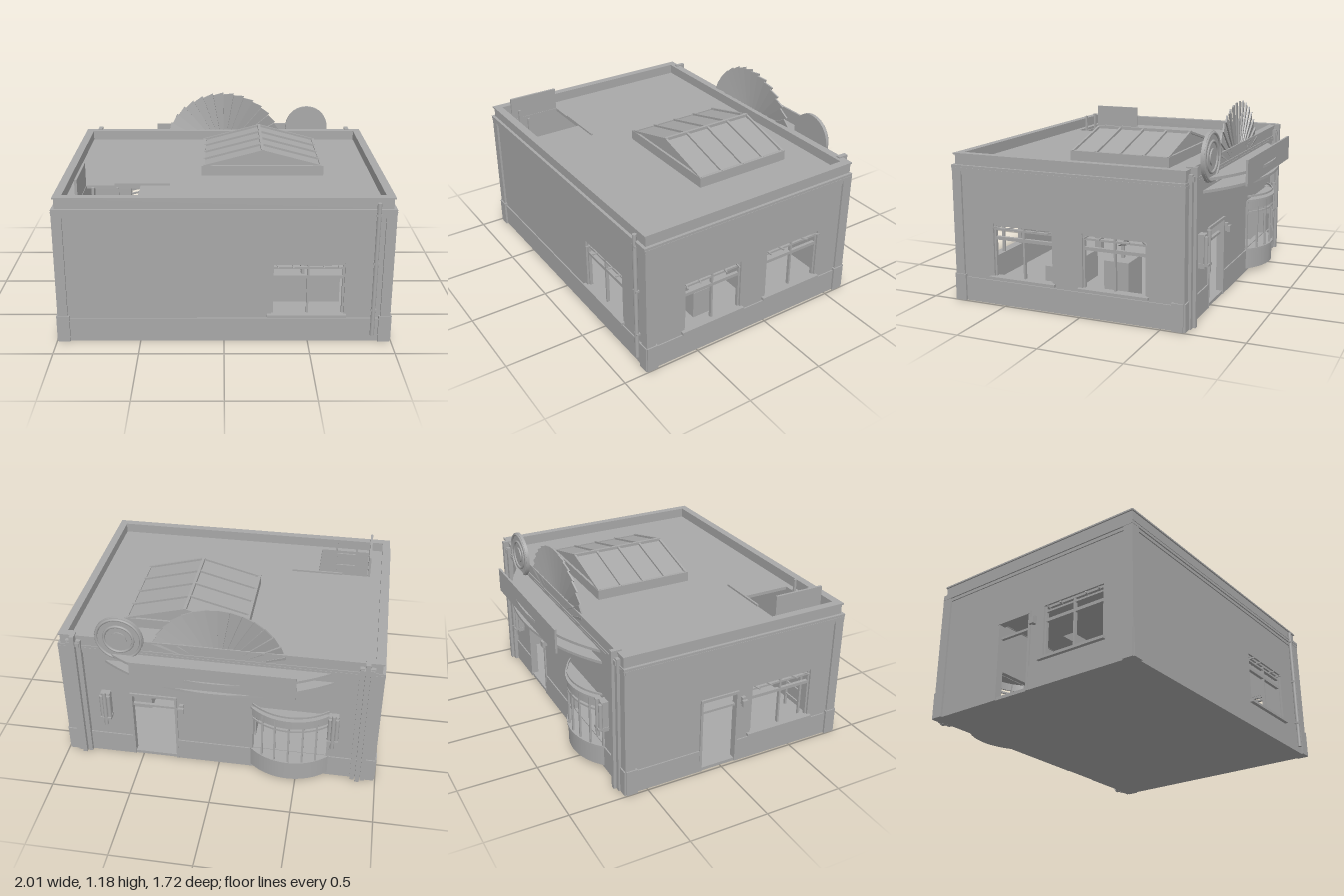
import * as THREE from 'three';

const grey = new THREE.MeshStandardMaterial({ color: 0xa8a8a8, side: THREE.DoubleSide });
grey.name = 'plain grey';

function add(parent, name, geo, x = 0, y = 0, z = 0) {
  const m = new THREE.Mesh(geo, grey);
  m.name = name;
  m.position.set(x, y, z);
  parent.add(m);
  return m;
}

// Box given by its two extreme corners
function box(parent, name, x0, x1, y0, y1, z0, z1) {
  return add(parent, name, new THREE.BoxGeometry(x1 - x0, y1 - y0, z1 - z0),
    (x0 + x1) / 2, (y0 + y1) / 2, (z0 + z1) / 2);
}

// Square bar between two points
function bar(parent, name, a, b, t) {
  const p = new THREE.Vector3(...a), q = new THREE.Vector3(...b);
  const m = add(parent, name, new THREE.BoxGeometry(t, t, p.distanceTo(q)));
  m.position.copy(p).add(q).multiplyScalar(0.5);
  m.lookAt(q);
  return m;
}

function rectPath(x0, x1, y0, y1, Type = THREE.Path) {
  return new Type([[x0, y0], [x1, y0], [x1, y1], [x0, y1]].map(p => new THREE.Vector2(...p)));
}

const extrude = (shape, depth) => new THREE.ExtrudeGeometry(shape, { depth, bevelEnabled: false, curveSegments: 32 });

// Points on a shallow bow of given half width and depth
function bow(half, depth, n = 28) {
  const r = (half * half + depth * depth) / (2 * depth), a = Math.asin(half / r);
  return Array.from({ length: n + 1 }, (_, i) => {
    const t = -a + 2 * a * i / n;
    return new THREE.Vector2(r * Math.sin(t), depth - r + r * Math.cos(t));
  });
}

// Horizontal bowed slab, or a bowed strip when a thickness is given
function bowSlab(parent, name, x, half, depth, y0, y1, strip = 0) {
  const pts = bow(half, depth);
  if (strip) pts.push(...bow(half - strip, depth - strip).reverse());
  return add(parent, name, extrude(new THREE.Shape(pts), y1 - y0).rotateX(Math.PI / 2), x, y1, 0);
}

// One side of the building: local x along the wall, z = 0 on its outer face
function makeFace(root, name, half, angle, x, z, holes) {
  const g = new THREE.Group();
  g.name = name;
  g.position.set(x, 0, z);
  g.rotation.y = angle;
  root.add(g);
  const wall = rectPath(-half, half, 0, 0.84, THREE.Shape);
  holes.forEach(h => wall.holes.push(rectPath(...h)));
  add(g, 'wallPanel', extrude(wall, 0.035), 0, 0, -0.048);
  // plinth, leaving the doorways open
  let u = -half;
  holes.filter(h => h[2] < 0.1).forEach(h => { box(g, 'plinth', u, h[0], 0, 0.148, -0.04, -0.005); u = h[1]; });
  box(g, 'plinth', u, half, 0, 0.148, -0.04, -0.005);
  // corner strips and their bases
  for (const s of [-1, 1]) {
    const a = s * half, b = s * (half - 0.06), c = s * (half - 0.07);
    box(g, 'cornerStrip', Math.min(a, b), Math.max(a, b), 0, 0.82, -0.04, 0);
    box(g, 'cornerBase', Math.min(a, c), Math.max(a, c), 0, 0.165, -0.04, 0.008);
  }
  box(g, 'upperBand', -half, half, 0.785, 0.805, -0.04, -0.006);
  box(g, 'upperMoulding', -half, half, 0.805, 0.825, -0.04, 0.002);
  return g;
}

// Framed window with transom, mullion, header bars and sill
function windowFrame(g, a, b) {
  const y0 = 0.17, y1 = 0.5, m = (a + b) / 2, z0 = -0.045, z1 = -0.025;
  box(g, 'windowSill', a - 0.025, b + 0.015, 0.158, 0.175, -0.05, 0.01);
  for (const u of [a, m - 0.006, b - 0.012]) box(g, 'windowUpright', u, u + 0.012, y0, y1, z0, z1);
  box(g, 'windowTransom', a, b, 0.4, 0.42, z0, z1);
  box(g, 'windowRail', a, b, 0.46, 0.472, z0, z1);
  box(g, 'windowHead', a, b, 0.485, y1, z0, z1);
  for (const s of [-1, 1]) for (const k of [0.06, 0.15])
    bar(g, 'blindArm', [m + s * k, 0.495, -0.04], [m + s * (k + 0.06), 0.46, -0.02], 0.008);
}

function doorway(g, a, b, top) {
  box(g, 'doorJamb', a - 0.015, a, 0, top, -0.05, -0.003);
  box(g, 'doorJamb', b, b + 0.015, 0, top, -0.05, -0.003);
  box(g, 'doorLintel', a - 0.015, b + 0.015, top, top + 0.018, -0.05, -0.001);
  box(g, 'doorTransom', a, b, top - 0.09, top - 0.075, -0.045, -0.025);
}

function doorLamp(g, u) {
  box(g, 'doorLampBracket', u - 0.012, u + 0.012, 0.4, 0.45, -0.02, 0.008);
  box(g, 'doorLamp', u - 0.018, u + 0.018, 0.395, 0.435, 0.008, 0.025);
}

function buildRoof(root) {
  // roof deck with hatch opening
  const deck = rectPath(-0.97, 0.97, -0.83, 0.62, THREE.Shape);
  deck.holes.push(rectPath(-0.84, -0.51, -0.755, -0.43));
  deck.holes.push(rectPath(-0.12, 0.61, -0.21, 0.38));
  add(root, 'roofDeck', extrude(deck, 0.02).rotateX(-Math.PI / 2), 0, 0.825, 0);
  // cornice ledge and parapet
  const ring = (name, w, z0, z1, t, y0, y1) => {
    const s = rectPath(-w, w, -z1, -z0, THREE.Shape);
    s.holes.push(rectPath(-w + t, w - t, -z1 + t, -z0 - t));
    add(root, name, extrude(s, y1 - y0).rotateX(-Math.PI / 2), 0, y0, 0);
  };
  ring('corniceLedge', 0.99, -0.64, 0.85, 0.055, 0.822, 0.84);
  ring('parapet', 0.972, -0.635, 0.832, 0.04, 0.84, 0.9);
  ring('parapetCap', 0.98, -0.64, 0.84, 0.05, 0.9, 0.91);
  // gabled skylight
  for (const [x0, x1, z0, z1] of [[-0.14, 0.63, -0.405, -0.385], [-0.14, 0.63, 0.215, 0.235],
    [-0.14, -0.12, -0.405, 0.235], [0.61, 0.63, -0.405, 0.235]])
    box(root, 'skylightCurb', x0, x1, 0.835, 0.908, z0, z1);
  const gable = new THREE.Shape([[-0.12, 0.9], [0.61, 0.9], [0.245, 0.996]].map(p => new THREE.Vector2(...p)));
  add(root, 'skylightGlazing', extrude(gable, 0.61), 0, 0, -0.39);
  for (let i = 0; i < 5; i++) {
    const z = -0.395 + i * 0.155;
    bar(root, 'skylightRafter', [-0.13, 0.903, z], [0.245, 1.003, z], 0.014);
    bar(root, 'skylightRafter', [0.62, 0.903, z], [0.245, 1.003, z], 0.014);
  }
  box(root, 'skylightRidge', 0.236, 0.254, 0.993, 1.012, -0.402, 0.232);
  // open hatch with its lid, stay and ladder
  box(root, 'hatchLid', -0.858, -0.843, 0.84, 0.99, 0.43, 0.76);
  box(root, 'hatchStay', -0.67, -0.33, 0.846, 0.858, 0.423, 0.435);
  for (const x of [-0.755, -0.612]) box(root, 'ladderRail', x - 0.007, x + 0.007, 0.02, 0.94, 0.735, 0.75);
  for (let y = 0.1; y < 0.9; y += 0.09) box(root, 'ladderRung', -0.755, -0.612, y, y + 0.01, 0.738, 0.748);
}

function buildShopFront(g) {
  // two bowed canopies with signboard
  bowSlab(g, 'lowerCanopy', 0, 0.7, 0.222, 0.73, 0.747);
  bowSlab(g, 'upperCanopy', 0, 0.68, 0.212, 0.795, 0.812);
  box(g, 'signBoard', -0.49, 0.49, 0.745, 0.9, 0.187, 0.2);
  // sunburst fan of overlapping blades
  const n = 18, R = 0.43, h = Math.PI / n / 2;
  for (let i = 0; i < n; i++) {
    const s = new THREE.Shape();
    s.moveTo(0, 0);
    s.lineTo(R * 0.975 * Math.cos(h), -R * 0.975 * Math.sin(h));
    s.lineTo(R * Math.cos(h), R * Math.sin(h));
    add(g, 'fanBlade', extrude(s, 0.01).rotateX(0.2).rotateZ((i + 0.5) * Math.PI / n), 0, 0.75, -0.018);
  }
  // round emblem with raised rings
  const disc = (r, t, z) => add(g, 'roundSign', new THREE.CylinderGeometry(r, r, t, 40).rotateX(Math.PI / 2), -0.597, 0.925, z);
  disc(0.15, 0.02, 0.008);
  disc(0.05, 0.012, 0.02);
  for (const r of [0.138, 0.09]) add(g, 'roundSignRing', new THREE.TorusGeometry(r, 0.009, 6, 40), -0.597, 0.925, 0.018);
  // stepped pilasters and wall lamps
  for (const s of [-1, 1]) {
    for (const [o, top, d] of [[0.855, 0.88, 0.018], [0.887, 0.918, 0.035], [0.919, 0.88, 0.018]])
      box(g, 'pilaster', s * o - 0.014, s * o + 0.014, 0, top, -0.03, d);
    box(g, 'pilasterCap', s * 0.887 - 0.04, s * 0.887 + 0.04, 0.84, 0.87, -0.03, 0.025);
    const u = s * 0.715;
    box(g, 'wallLampPlate', u - 0.03, u + 0.03, 0.3, 0.5, -0.02, 0.03);
    for (const [dx, y0, y1] of [[-0.022, 0.33, 0.49], [0, 0.27, 0.525], [0.022, 0.33, 0.49]])
      add(g, 'wallLampTube', new THREE.CylinderGeometry(0.013, 0.013, y1 - y0, 12), u + dx, (y0 + y1) / 2, dx ? 0.035 : 0.045);
    box(g, 'wallLampFoot', u - 0.034, u + 0.034, 0.315, 0.33, -0.02, 0.055);
  }
  // bowed bay window
  const x = 0.45;
  bowSlab(g, 'bayBase', x, 0.245, 0.1, 0.025, 0.15);
  bowSlab(g, 'baySill', x, 0.25, 0.108, 0.15, 0.163);
  bowSlab(g, 'bayTransom', x, 0.243, 0.098, 0.405, 0.418, 0.012);
  bowSlab(g, 'bayHeader', x, 0.245, 0.1, 0.435, 0.49, 0.012);
  bowSlab(g, 'bayRoof', x, 0.25, 0.108, 0.485, 0.498);
  bowSlab(g, 'bayRoofTrim', x, 0.24, 0.098, 0.515, 0.528, 0.01);
  bow(0.238, 0.094, 6).forEach(p => box(g, 'bayMullion', x + p.x - 0.006, x + p.x + 0.006, 0.16, 0.49, p.y - 0.006, p.y + 0.006));
}

function buildInterior(root) {
  box(root, 'floor', -0.98, 0.98, 0, 0.02, -0.63, 0.84);
  box(root, 'counter', 0.3, 0.75, 0.02, 0.2, 0.22, 0.36);
  for (let i = 0; i < 6; i++) box(root, 'counterItem', 0.5, 0.52, 0.2, 0.26, 0.24 + i * 0.02, 0.25 + i * 0.02);
  box(root, 'post', -0.3, -0.25, 0.02, 0.825, 0.46, 0.51);
  box(root, 'table', 0.55, 0.75, 0.02, 0.28, -0.2, -0.04);
  const horn = add(root, 'horn', new THREE.CylinderGeometry(0.06, 0.015, 0.1, 24, 1, true), 0.65, 0.39, -0.12);
  horn.rotation.set(0.5, 0, -0.9);
  box(root, 'hornStand', 0.64, 0.66, 0.28, 0.38, -0.13, -0.11);
  box(root, 'cabinet', -0.2, 0, 0.02, 0.44, -0.36, -0.2);
  bar(root, 'stairRail', [0.2, 0.42, -0.02], [0.2, 0.17, -0.34], 0.02);
}

export function createModel() {
  const root = new THREE.Group();
  root.name = 'shopBuilding';
  const q = Math.PI / 2, wy = [0.17, 0.5];

  const front = makeFace(root, 'frontFace', 0.99, 0, 0, 0.845, [[0.28, 0.71, ...wy]]);
  windowFrame(front, 0.28, 0.71);
  // drainpipe
  add(front, 'drainPipe', new THREE.CylinderGeometry(0.013, 0.013, 0.84, 12), 0.885, 0.46, 0.002);
  for (const y of [0.2, 0.5, 0.8]) box(front, 'pipeClip', 0.868, 0.902, y, y + 0.012, -0.02, 0.012);

  const right = makeFace(root, 'rightFace', 0.74, q, 0.99, 0.105, [[-0.475, -0.075, ...wy], [0.115, 0.515, ...wy]]);
  windowFrame(right, -0.475, -0.075);
  windowFrame(right, 0.115, 0.515);

  const left = makeFace(root, 'leftFace', 0.74, -q, -0.99, 0.105, [[-0.235, -0.005, 0.02, 0.48], [0.105, 0.535, ...wy]]);
  doorway(left, -0.235, -0.005, 0.48);
  windowFrame(left, 0.105, 0.535);
  doorLamp(left, 0.04);

  const back = makeFace(root, 'backFace', 0.99, Math.PI, 0, -0.64, [[-0.55, -0.28, 0.02, 0.48], [0.22, 0.68, 0.155, 0.48]]);
  doorway(back, -0.55, -0.28, 0.48);
  doorLamp(back, -0.235);
  buildShopFront(back);

  buildRoof(root);
  buildInterior(root);
  return root;
}
